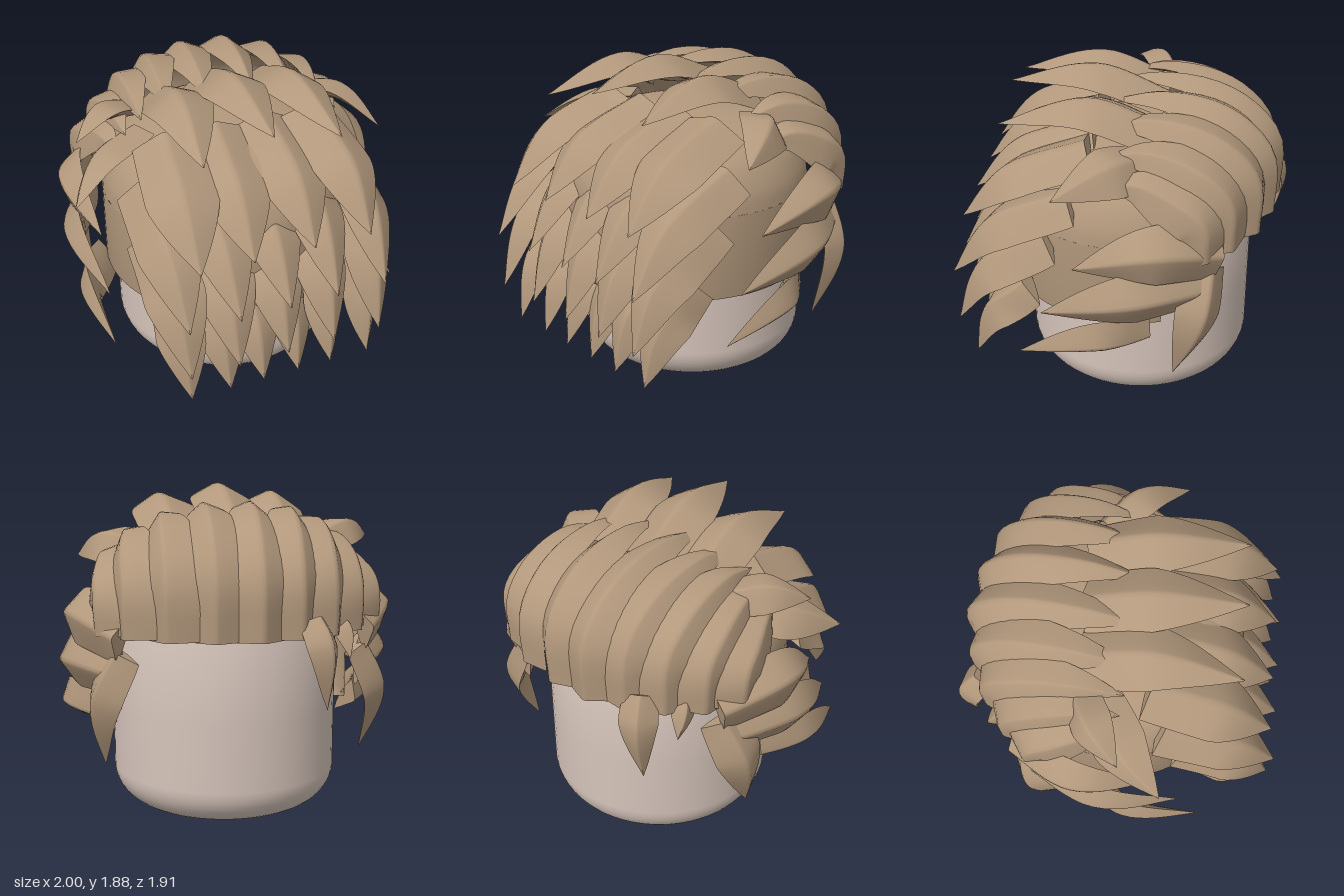
import * as THREE from 'three';

const hair = new THREE.MeshStandardMaterial({ color: 0xb2987c, side: THREE.DoubleSide });
hair.name = 'tan hair';
const skin = new THREE.MeshStandardMaterial({ color: 0xd5c4ba });
skin.name = 'pale skin';

const V = (p) => new THREE.Vector3(...p);
const CENTRE = V([0, 0.95, -0.1]);
// Cross-section of a lock: a soft ridge above, a shallow hollow below
const TOP = [[-1, 0], [-0.75, 0.29], [-0.4, 0.65], [-0.12, 0.94], [0, 1], [0.12, 0.94], [0.4, 0.65], [0.75, 0.29], [1, 0]];
const BOTTOM = [[1, 0], [0.5, -0.15], [0, -0.2], [-0.5, -0.15], [-1, 0]];

// Width along a lock: nearly full at the root, widest before the middle, pointed tip
function taper(t, root) {
  if (t < 0.44) return THREE.MathUtils.lerp(root, 1, Math.sin((t / 0.44) * Math.PI / 2));
  return Math.max(0.015, 1 - Math.pow((t - 0.44) / 0.56, 1.4));
}

// A curved pointed lock swept along a path, its ridge facing away from the head;
// a small spread turns the ridge less to the side
function lock(points, width, height, root = 0.85, spread = 1) {
  const curve = new THREE.CatmullRomCurve3(points.map(V), false, 'centripetal');
  const N = 18, pos = [], idx = [];
  const rings = [];
  for (let i = 0; i <= N; i++) {
    const t = i / N, p = curve.getPoint(t), T = curve.getTangent(t);
    const O = p.clone().sub(CENTRE);
    O.x *= spread;
    O.addScaledVector(T, -O.dot(T)).normalize();
    const S = new THREE.Vector3().crossVectors(O, T);
    const k = taper(t, root);
    rings.push((q) => p.clone().addScaledVector(S, q[0] * width * k).addScaledVector(O, q[1] * height * k));
  }
  for (const section of [TOP, BOTTOM]) {
    const start = pos.length / 3, n = section.length;
    rings.forEach((ring, i) => section.forEach((q, j) => {
      pos.push(...ring(q).toArray());
      if (i < N && j < n - 1) {
        const a = start + i * n + j, b = a + n;
        idx.push(a, b, a + 1, b, b + 1, a + 1);
      }
    }));
  }
  // Flat root end
  const base = pos.length / 3, loop = [...TOP, ...BOTTOM.slice(1, -1)];
  loop.forEach((q) => pos.push(...rings[0](q).toArray()));
  for (let j = 1; j < loop.length - 1; j++) idx.push(base, base + j, base + j + 1);
  const g = new THREE.BufferGeometry();
  g.setAttribute('position', new THREE.Float32BufferAttribute(pos, 3));
  g.setIndex(idx);
  g.computeVertexNormals();
  return g;
}

export function createModel() {
  const model = new THREE.Group();
  model.name = 'hairyHead';
  const add = (parent, name, geometry, material = hair) => {
    const m = new THREE.Mesh(geometry, material);
    m.name = name;
    parent.add(m);
    return m;
  };
  const group = (name) => {
    const g = new THREE.Group();
    g.name = name;
    model.add(g);
    return g;
  };

  // Head: cylinder with a rounded lower edge
  const profile = [new THREE.Vector2(0, 0)];
  for (let i = 0; i <= 10; i++) {
    const a = (i / 10) * Math.PI / 2;
    profile.push(new THREE.Vector2(0.45 + 0.22 * Math.sin(a), 0.22 - 0.22 * Math.cos(a)));
  }
  profile.push(new THREE.Vector2(0.67, 0.6), new THREE.Vector2(0.67, 1.2), new THREE.Vector2(0.5, 1.42), new THREE.Vector2(0, 1.48));
  add(model, 'head', new THREE.LatheGeometry(profile, 64), skin).position.set(0.01, 0, -0.07);

  // Hair cap: dome over the crown, with a lower wall round the front and sides
  const cap = group('hairCap');
  const dome = new THREE.SplineCurve([[0.74, 1.12], [0.72, 1.24], [0.64, 1.39], [0.48, 1.49], [0.25, 1.54], [0, 1.56]]
    .map((p) => new THREE.Vector2(...p)));
  add(cap, 'crownCap', new THREE.LatheGeometry(dome.getPoints(20), 48)).position.z = -0.02;
  add(cap, 'sideCap', new THREE.LatheGeometry([new THREE.Vector2(0.67, 0.62), new THREE.Vector2(0.74, 0.62),
    new THREE.Vector2(0.74, 1.12)], 40, -1.9, 3.8)).position.z = -0.02;

  // Four overlapping rows down the front, every lock of a row following the same [y, z] sweep
  const front = group('frontLocks');
  const rows = [
    { xs: [-0.43, -0.14, 0.16, 0.44], tips: [-0.5, -0.19, 0.17, 0.51], w: 0.205, path: [[1.54, 0.17], [1.385, 0.6], [1.14, 0.9]] },
    { xs: [-0.59, -0.29, 0, 0.3, 0.6], tips: [-0.59, -0.29, 0.01, 0.3, 0.6], w: 0.18, path: [[1.32, 0.25], [1.125, 0.67], [0.81, 0.96]] },
    { xs: [-0.59, -0.29, 0, 0.3, 0.6], tips: [-0.58, -0.29, 0.01, 0.3, 0.59], w: 0.18, path: [[1.07, 0.38], [0.84, 0.73], [0.475, 0.95]] },
    { xs: [-0.56, -0.33, -0.11, 0.12, 0.35, 0.58], tips: [-0.55, -0.31, -0.1, 0.12, 0.33, 0.575], w: 0.15, path: [[0.74, 0.5], [0.54, 0.71], [0.23, 0.86]] },
  ];
  for (const { xs, tips, w, path } of rows) {
    xs.forEach((x, i) => {
      const points = path.map(([y, z], k) => [THREE.MathUtils.lerp(x, tips[i], [0, 0.7, 1][k]), y, z]);
      add(front, 'frontLock', lock(points, w, 0.1, 0.95, 0.35));
    });
  }

  // Fringe: arched locks springing forward from the crown
  const fringe = group('fringe');
  [[-0.34, -0.4, 1.67, 1.74], [0.34, 0.4, 1.68, 1.74], [-0.02, 0, 1.765, 1.79]].forEach(([x, tx, ty, my]) =>
    add(fringe, 'fringeLock', lock([[x * 0.95, my - 0.14, -0.2], [x, my, 0.2], [tx, ty, 0.69]], 0.19, 0.1, 0.9, 0.3)));

  // Swept-back locks: arching from the nape over the crown: [root x, root z, tip]
  const back = group('backLocks');
  [
    [-0.74, -0.46, [-0.68, 1.45, 0.06]], [-0.6, -0.59, [-0.62, 1.55, 0.03]],
    [-0.43, -0.7, [-0.53, 1.64, 0.05]], [-0.24, -0.77, [-0.38, 1.7, 0.08]],
    [0.75, -0.47, [0.68, 1.47, 0.06]], [0.62, -0.59, [0.56, 1.59, 0.07]],
    [0.43, -0.71, [0.36, 1.68, 0.11]], [0.2, -0.78, [0.13, 1.73, 0.1]],
    [-0.03, -0.81, [-0.15, 1.73, 0.13]],
  ].forEach(([x, z, tip]) => {
    const y = tip[1];
    add(back, 'backLock', lock([
      [x * 0.99, 1.11, z],
      [x, 1.11 + (y - 1.11) * 0.56, z + 0.02],
      [x * 0.75 + tip[0] * 0.25, y - 0.06, z * 0.72 + tip[2] * 0.28],
      [x * 0.35 + tip[0] * 0.65, y + 0.025, z * 0.35 + tip[2] * 0.65],
      tip,
    ], 0.17, 0.1, 0.9));
  });

  // Side locks, the same on both sides: three sweeping forward, one hanging behind
  const side = group('sideLocks');
  for (const s of [1, -1]) {
    [
      [[0.68, 1.1, -0.56], [0.88, 1.18, -0.2], [0.85, 1.04, 0.22], 0.17],
      [[0.68, 0.9, -0.52], [0.9, 0.9, -0.08], [0.87, 0.75, 0.4], 0.17],
      [[0.72, 0.61, -0.17], [0.88, 0.62, 0.1], [0.89, 0.49, 0.53], 0.135],
      [[0.66, 1.0, -0.5], [0.78, 0.72, -0.46], [0.77, 0.32, -0.34], 0.145],
    ].forEach(([a, b, c, w]) =>
      add(side, 'sideLock', lock([a, b, c].map(([x, y, z]) => [x * s, y, z]), w, 0.1)));
  }

  // Temple tufts and nape wisps, uneven from side to side
  const tufts = group('tufts');
  [
    ['templeTuft', [0.5, 1.52, -0.12], [0.69, 1.55, 0.06], [0.84, 1.455, 0.33], 0.16],
    ['templeTuft', [-0.5, 1.45, -0.1], [-0.77, 1.4, 0.06], [-1, 1.3, 0.28], 0.165],
    ['templeTuft', [-0.5, 1.55, -0.2], [-0.72, 1.61, -0.1], [-0.91, 1.57, 0.04], 0.13],
    ['napeWisp', [-0.33, 1.2, -0.78], [-0.37, 1.05, -0.87], [-0.4, 0.72, -0.87], 0.11],
    ['napeWisp', [-0.48, 1.16, -0.6], [-0.53, 1.09, -0.68], [-0.56, 0.98, -0.77], 0.07],
  ].forEach(([name, a, b, c, w]) => add(tufts, name, lock([a, b, c], w, 0.09)));

  return model;
}
